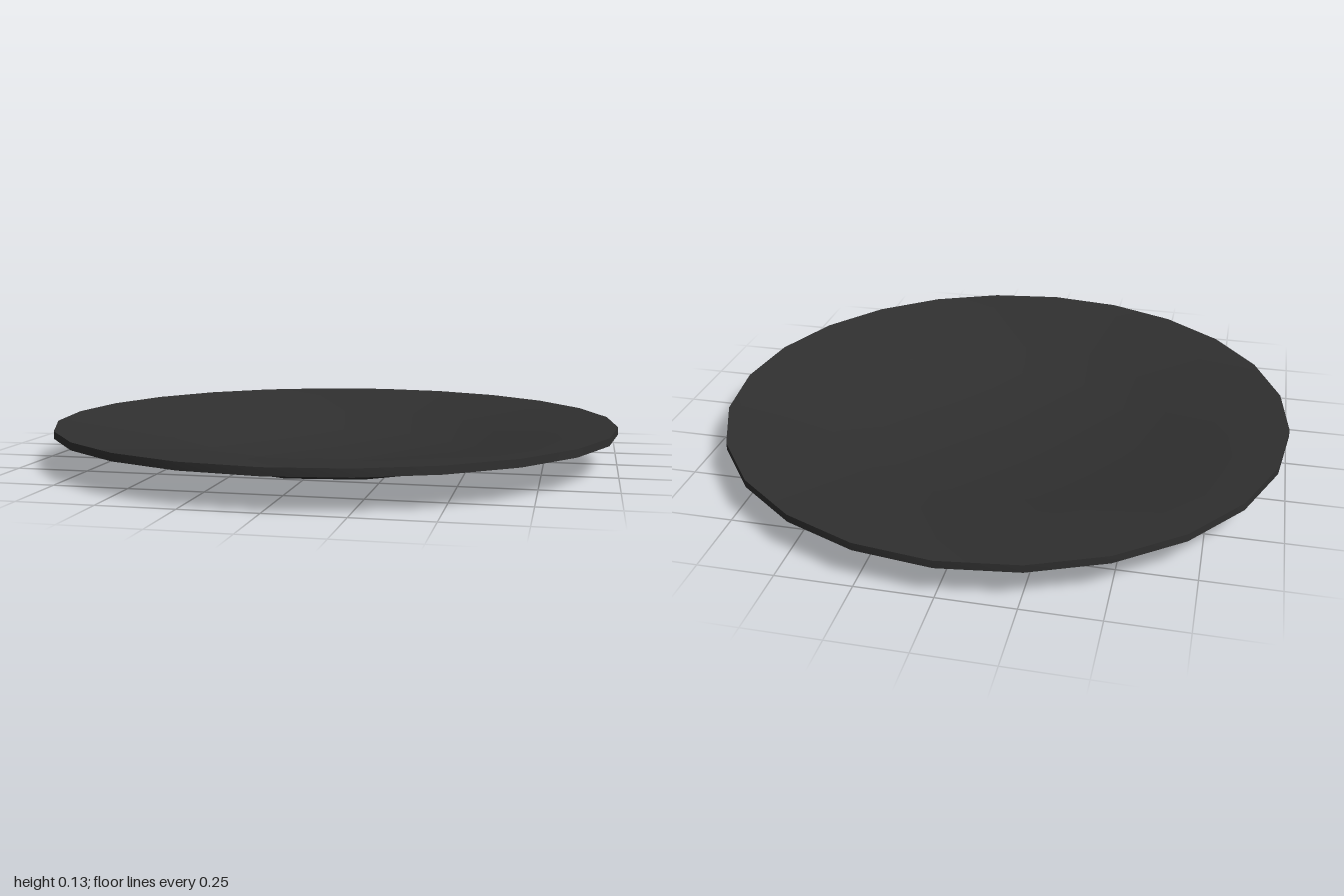
import * as THREE from 'three';
import { mergeVertices } from 'three/addons/utils/BufferGeometryUtils.js';

const SIDES = 24;

// One smooth surface through a profile of [radius, height, coarse] rings.
// A coarse ring has half as many corners, each shared by two neighbouring steps.
function ringSurface(profile) {
  const positions = [];
  const index = [];
  for (const [radius, height, coarse] of profile) {
    for (let i = 0; i < SIDES; i++) {
      const step = coarse ? Math.floor((i + 1) / 2) * 2 - 0.5 : i;
      const angle = (step / SIDES) * Math.PI * 2;
      positions.push(radius * Math.sin(angle), height, radius * Math.cos(angle));
    }
  }
  for (let ring = 0; ring < profile.length - 1; ring++) {
    for (let i = 0; i < SIDES; i++) {
      const next = (i + 1) % SIDES;
      const a = ring * SIDES + i, b = a + SIDES;
      const c = (ring + 1) * SIDES + next, d = ring * SIDES + next;
      index.push(a, b, c, a, c, d);
    }
  }
  const geometry = new THREE.BufferGeometry();
  geometry.setAttribute('position', new THREE.Float32BufferAttribute(positions, 3));
  geometry.setIndex(index);
  const merged = mergeVertices(geometry, 1e-4);
  merged.computeVertexNormals();
  return merged;
}

export function createModel() {
  const plate = new THREE.Group();
  plate.name = 'plate';
  const material = new THREE.MeshStandardMaterial({ color: 0x303030 });

  const parts = {
    // Well floor, sloping well wall and broad flange
    eatingSurface: [[0, 0.025, true], [0.47, 0.025, true], [0.595, 0.085, true], [1, 0.132, false]],
    // Thin upright edge
    rimEdge: [[1, 0.132, false], [1, 0.106, false]],
    // Underside of the flange, foot wall and flat base
    underside: [[1, 0.106, false], [0.605, 0.064, true], [0.49, 0, true], [0, 0, true]],
  };
  for (const [name, profile] of Object.entries(parts)) {
    const mesh = new THREE.Mesh(ringSurface(profile), material);
    mesh.name = name;
    plate.add(mesh);
  }
  return plate;
}
